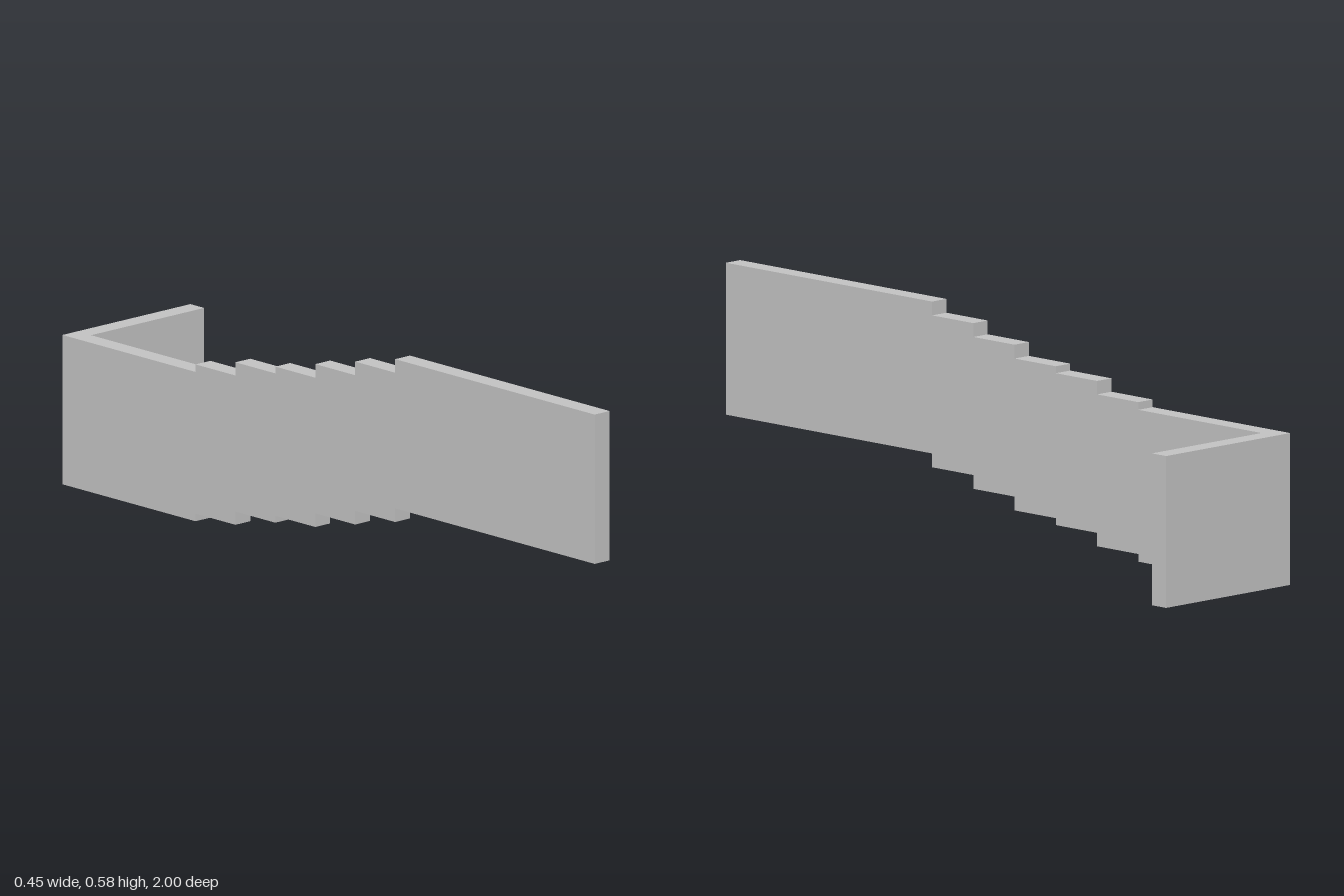
import * as THREE from 'three';

export function createModel() {
  const group = new THREE.Group();
  const grey = new THREE.MeshStandardMaterial({ color: 0xc0c0c0 });
  grey.name = 'concrete grey';

  const height = 0.396, thickness = 0.052, halfWidth = 0.224;

  // Each wall section: front z and base height, stepping down to the back
  const sections = [
    [1, 0.181], [0.25, 0.145], [0.1, 0.109], [-0.05, 0.073],
    [-0.2, 0.055], [-0.35, 0.02], [-0.5, 0],
  ];
  const bottom = [], top = [];
  sections.forEach(([z, y], i) => {
    const zBack = i + 1 < sections.length ? sections[i + 1][0] : -1;
    for (const end of [z, zBack]) {
      bottom.push(new THREE.Vector2(-end, y));
      top.push(new THREE.Vector2(-end, y + height));
    }
  });

  // Long stepped wall: side profile extruded through its thickness
  const profile = new THREE.Shape([...bottom, ...top.reverse()]);
  const wallGeometry = new THREE.ExtrudeGeometry(profile, { depth: thickness, bevelEnabled: false });
  wallGeometry.rotateY(Math.PI / 2);
  const wall = new THREE.Mesh(wallGeometry, grey);
  wall.name = 'steppedWall';
  wall.position.x = -halfWidth;
  group.add(wall);

  // Short return wall closing the back corner
  const width = 2 * halfWidth - thickness;
  const returnWall = new THREE.Mesh(new THREE.BoxGeometry(width, height, thickness), grey);
  returnWall.name = 'returnWall';
  returnWall.position.set(halfWidth - width / 2, height / 2, -1 + thickness / 2);
  group.add(returnWall);

  return group;
}
